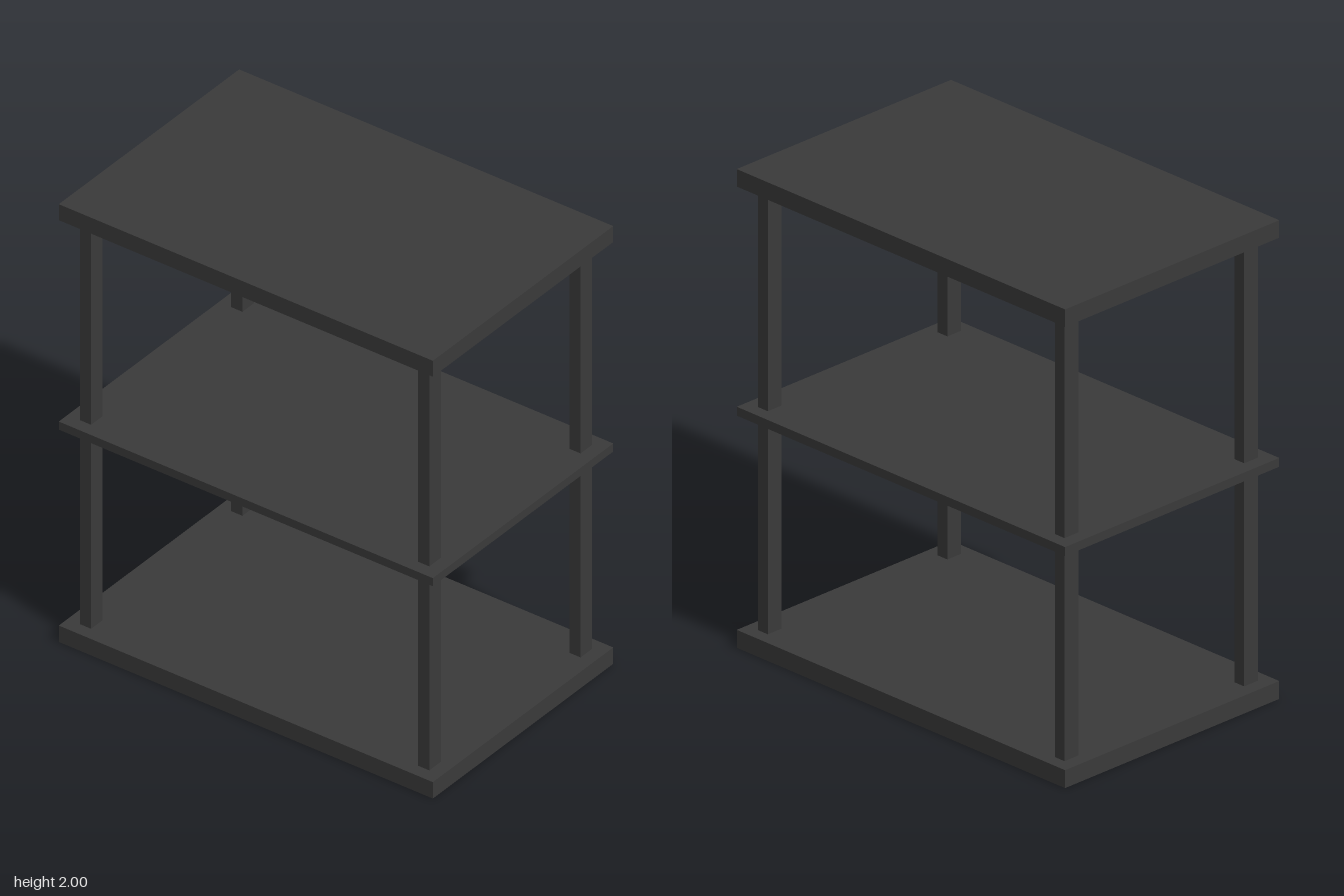
import * as THREE from 'three';

export function createModel() {
  const group = new THREE.Group();
  const charcoal = new THREE.MeshStandardMaterial({ color: 0x3a3a3a });
  charcoal.name = 'charcoal';

  const addBox = (name, w, h, d, x, y, z) => {
    const mesh = new THREE.Mesh(new THREE.BoxGeometry(w, h, d), charcoal);
    mesh.name = name;
    mesh.position.set(x, y, z);
    group.add(mesh);
  };

  // Boards, given by their bottom and top heights
  const boards = [
    ['baseBoard', 0, 0.075],
    ['middleShelf', 0.97, 1.007],
    ['topBoard', 1.927, 2],
  ];
  for (const [name, y0, y1] of boards) {
    addBox(name, 1.77, y1 - y0, 1.14, 0, (y0 + y1) / 2, 0);
  }

  // Corner posts, in a lower and an upper section
  for (const [level, y0, y1] of [['lower', 0.075, 0.97], ['upper', 1.007, 1.927]]) {
    for (const [side, sx] of [['Left', 1], ['Right', -1]]) {
      for (const [end, sz] of [['Front', 1], ['Back', -1]]) {
        addBox(`${level}${end}${side}Post`, 0.053, y1 - y0, 0.073, sx * 0.8, (y0 + y1) / 2, sz * 0.478);
      }
    }
  }
  return group;
}
